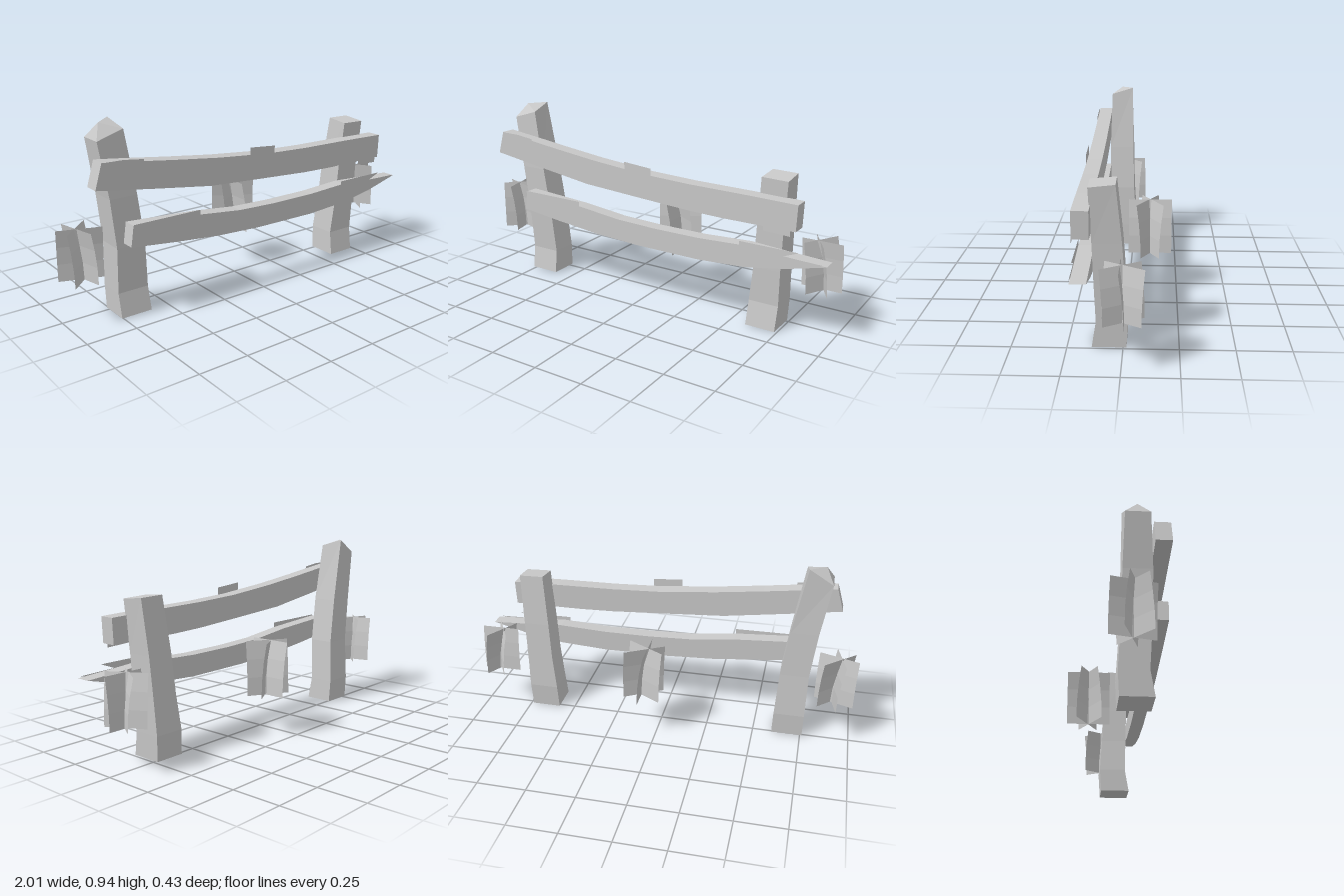
import * as THREE from 'three';

const wood = new THREE.MeshStandardMaterial({ color: 0xc8c8c8 });
wood.name = 'paleGrey';
const thin = new THREE.MeshStandardMaterial({ color: 0xc8c8c8, side: THREE.DoubleSide });
thin.name = 'paleGreyThin';

function named(geometry, material, name) {
  const mesh = new THREE.Mesh(geometry, material);
  mesh.name = name;
  return mesh;
}

// Each section is [y, xLeft, xRight, zBack, zFront]; the cap holds the top corners
// in the order front left, front right, back right, back left, then the peak.
function post(name, sections, cap) {
  const pos = [], idx = [];
  for (const [y, x0, x1, z0, z1] of sections) pos.push(x0, y, z1, x1, y, z1, x1, y, z0, x0, y, z0);
  pos.push(...cap.flat());
  const rings = sections.length + 1;
  for (let r = 0; r < rings - 1; r++) {
    for (let j = 0; j < 4; j++) {
      const a = r * 4 + j, b = r * 4 + (j + 1) % 4;
      idx.push(a, b, b + 4, a, b + 4, a + 4);
    }
  }
  const top = (rings - 1) * 4;
  for (let j = 0; j < 4; j++) idx.push(top + j, top + (j + 1) % 4, top + 4);
  idx.push(0, 3, 2, 0, 2, 1);
  const indexed = new THREE.BufferGeometry();
  indexed.setAttribute('position', new THREE.Float32BufferAttribute(pos, 3));
  indexed.setIndex(idx);
  const g = indexed.toNonIndexed();
  g.computeVertexNormals();
  return named(g, wood, name);
}

const outline = (points) => new THREE.Shape(points.map(([x, y]) => new THREE.Vector2(x, y)));

// Solid beam cut from a front outline
function rail(name, points, zBack, depth) {
  const g = new THREE.ExtrudeGeometry(outline(points), { depth, bevelEnabled: false });
  g.translate(0, 0, zBack);
  return named(g, wood, name);
}

// Flat splinter lying on the front of a rail
function splinter(name, points, z) {
  const g = new THREE.ShapeGeometry(outline(points));
  g.translate(0, 0, z);
  return named(g, thin, name);
}

// Three upright cards crossing at the middle, bending sideways towards the top
function tuft(name, x, z, radius, top, angles, bends) {
  const group = new THREE.Group();
  group.name = name;
  const bottom = 0.21, height = top - bottom;
  angles.forEach((degrees, i) => {
    const indexed = new THREE.PlaneGeometry(radius * 2, height, 1, 3);
    const p = indexed.attributes.position;
    for (let k = 0; k < p.count; k++) {
      const t = p.getY(k) / height + 0.5;
      p.setZ(k, bends[i] * (t * t - 0.4));
    }
    const g = indexed.toNonIndexed();
    g.computeVertexNormals();
    const card = named(g, thin, 'grassCard');
    card.rotation.y = THREE.MathUtils.degToRad(degrees);
    group.add(card);
  });
  group.position.set(x, bottom + height / 2, z);
  return group;
}

export function createModel() {
  const model = new THREE.Group();
  model.name = 'fence';

  // Posts
  model.add(
    post('tallPost', [
      [0.01, -0.76, -0.6, -0.015, 0.135],
      [0.13, -0.763, -0.605, -0.02, 0.115],
      [0.36, -0.767, -0.62, -0.005, 0.13],
      [0.6, -0.795, -0.655, 0, 0.135],
    ], [
      [-0.84, 0.87, 0.127], [-0.707, 0.91, 0.125], [-0.72, 0.945, 0.005],
      [-0.84, 0.87, 0.01], [-0.8, 0.94, 0.07],
    ]),
    post('shortPost', [
      [0.005, 0.585, 0.737, -0.015, 0.14],
      [0.13, 0.59, 0.742, -0.022, 0.12],
      [0.31, 0.61, 0.747, -0.01, 0.127],
      [0.5, 0.622, 0.755, 0.002, 0.133],
    ], [
      [0.642, 0.757, 0.145], [0.773, 0.753, 0.145], [0.77, 0.765, 0.028],
      [0.645, 0.768, 0.028], [0.708, 0.761, 0.087],
    ]),
  );

  // Sagging rails
  model.add(
    rail('upperRail', [
      [-0.9, 0.68], [-0.6, 0.635], [-0.3, 0.592], [0, 0.573], [0.3, 0.555], [0.48, 0.55],
      [0.845, 0.55], [0.85, 0.675], [0.6, 0.681], [0.3, 0.685], [0.05, 0.695],
      [-0.25, 0.722], [-0.5, 0.752], [-0.7, 0.778], [-0.865, 0.798],
    ], 0.135, 0.075),
    rail('lowerRail', [
      [-0.735, 0.382], [-0.5, 0.354], [-0.25, 0.329], [0, 0.317], [0.35, 0.315], [0.6, 0.33],
      [0.8, 0.365], [0.995, 0.415], [0.79, 0.425], [0.6, 0.437], [0.35, 0.425], [0.1, 0.425],
      [-0.12, 0.433], [-0.36, 0.46], [-0.72, 0.483],
    ], 0.135, 0.07),
  );

  // Splinters on the rail fronts
  model.add(
    splinter('upperSplinterLeft', [[-0.85, 0.74], [-0.66, 0.72], [-0.66, 0.783], [-0.76, 0.795], [-0.85, 0.797]], 0.213),
    splinter('upperSplinterMiddle', [[-0.065, 0.66], [0.09, 0.65], [0.09, 0.73], [-0.065, 0.743]], 0.213),
    splinter('upperSplinterRight', [[0.69, 0.53], [0.82, 0.525], [0.82, 0.6], [0.69, 0.6]], 0.213),
    splinter('lowerSplinterLeft', [[-0.72, 0.405], [-0.36, 0.37], [-0.36, 0.485], [-0.72, 0.487]], 0.208),
    splinter('lowerSplinterRight', [[0.57, 0.345], [0.8, 0.39], [0.98, 0.42], [0.79, 0.425], [0.865, 0.455], [0.57, 0.455]], 0.208),
  );

  // Grass tufts
  model.add(
    tuft('grassRight', 0.9, -0.005, 0.1, 0.455, [0, 60, -60], [0.02, -0.03, 0.03]),
    tuft('grassMiddle', 0.07, -0.11, 0.11, 0.487, [90, 30, -30], [-0.035, -0.025, 0.025]),
    tuft('grassLeft', -0.905, 0.035, 0.105, 0.465, [-77, -20, 43], [0.03, 0.025, -0.025]),
  );

  return model;
}
